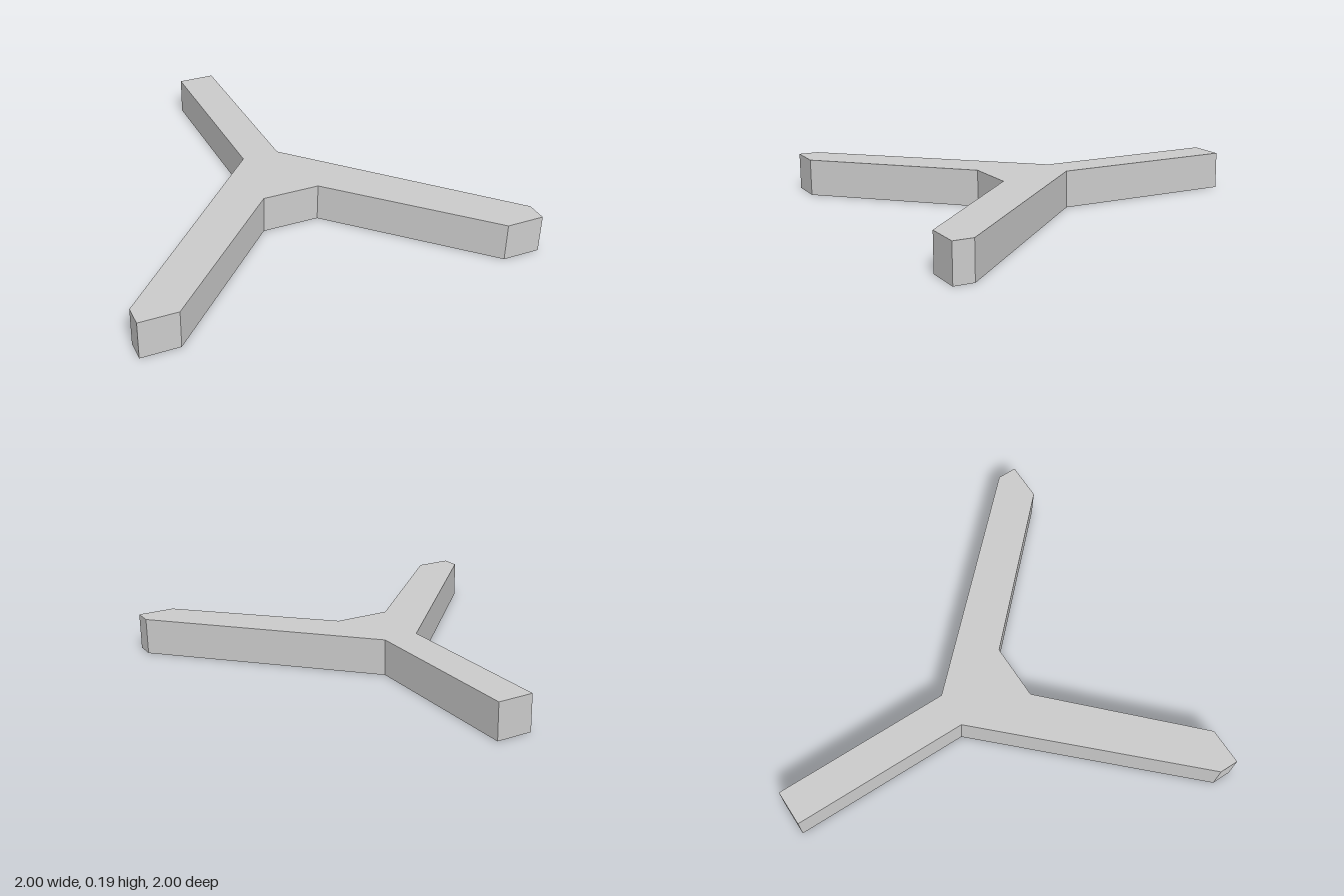
import * as THREE from 'three';

const HEIGHT = 0.19;

// Left half of the outline as [x, z], from the back arm round to the front crotch
const HALF = [
  [0.094, -1], [0.094, -0.05],            // back arm side
  [1, 0.9], [1, 1], [0.81, 1],            // clipped tip of the front arm
  [0.145, 0.335],                         // flat between the front arms
];

export function createModel() {
  const group = new THREE.Group();
  group.name = 'threeArmedBracket';

  // Mirror the half outline across x = 0
  const mirrored = HALF.map(([x, z]) => [-x, z]).reverse();
  const outline = [...HALF, ...mirrored].map(([x, z]) => new THREE.Vector2(x, -z));

  // Extrude the outline upward into one solid slab
  const geometry = new THREE.ExtrudeGeometry(new THREE.Shape(outline), {
    depth: HEIGHT, bevelEnabled: false,
  });
  geometry.rotateX(-Math.PI / 2);

  const material = new THREE.MeshStandardMaterial({ color: 0xcccccc, flatShading: true });
  const body = new THREE.Mesh(geometry, material);
  body.name = 'threeArmedBody';
  group.add(body);
  return group;
}
